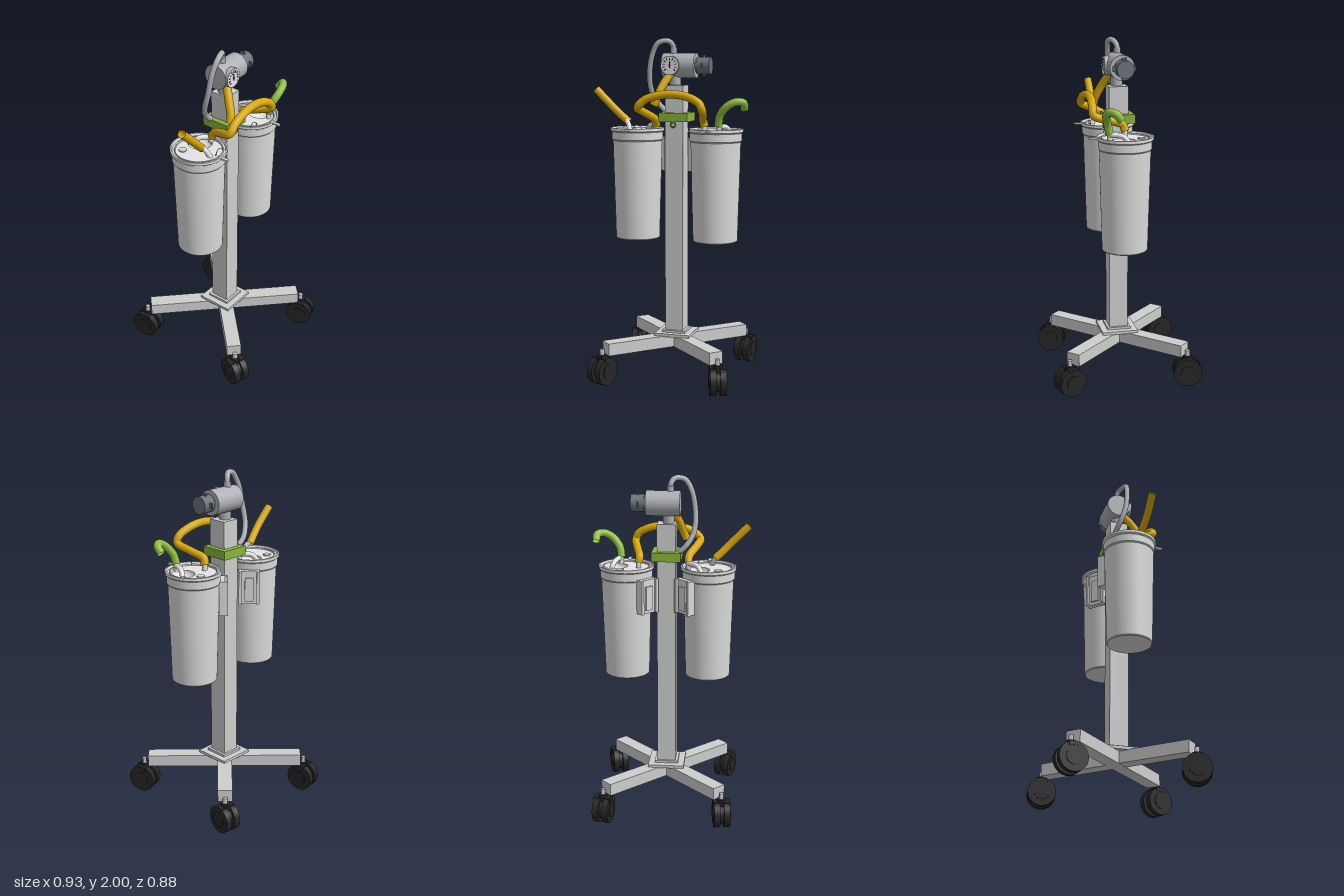
import * as THREE from 'three';
import { toCreasedNormals } from 'three/addons/utils/BufferGeometryUtils.js';

const mat = (name, color, side = THREE.FrontSide) => {
  const m = new THREE.MeshStandardMaterial({ color, side });
  m.name = name;
  return m;
};
const V = (p) => new THREE.Vector3(...p);

export function createModel() {
  const model = new THREE.Group();
  model.name = 'suctionTrolley';
  const frame = mat('frameGrey', 0xcdcfcd);
  const plastic = mat('canisterGrey', 0xd9dbd9, THREE.DoubleSide);
  const white = mat('lidWhite', 0xe4e4e4, THREE.DoubleSide);
  const metal = mat('regulatorGrey', 0xaeb0b6, THREE.DoubleSide);
  const slate = mat('knobSlate', 0x6c737b);
  const green = mat('clampGreen', 0x8ab43a);
  const lime = mat('hoseGreen', 0x8fc043, THREE.DoubleSide);
  const yellow = mat('hoseYellow', 0xd6a80c, THREE.DoubleSide);
  const black = mat('casterBlack', 0x262626);

  const add = (name, geo, material, pos = [0, 0, 0], parent = model) => {
    const m = new THREE.Mesh(geo, material);
    m.name = name;
    m.position.set(...pos);
    parent.add(m);
    return m;
  };
  const box = (w, h, d) => new THREE.BoxGeometry(w, h, d);
  const cyl = (r, h, n = 32, r2 = r) => new THREE.CylinderGeometry(r, r2, h, n);
  const lathe = (pts) => toCreasedNormals(
    new THREE.LatheGeometry(pts.map((p) => new THREE.Vector2(...p)), 56), 0.5);
  const tube = (name, pts, r, material, parent = model) => add(name,
    new THREE.TubeGeometry(new THREE.CatmullRomCurve3(pts.map(V)), pts.length * 8, r, 16),
    material, [0, 0, 0], parent);

  // Post and crossed base
  const px = 0.015;
  add('post', box(0.108, 1.5, 0.112), frame, [px, 0.98, 0]);
  add('basePlate', box(0.215, 0.018, 0.215), frame, [px, 0.252, 0]);
  add('postCollar', box(0.14, 0.03, 0.14), frame, [px, 0.26, 0]);
  for (const s of [1, -1]) {
    add('baseArm', box(0.94, 0.072, 0.086), frame, [px, 0.209 + s * 0.0005, -0.003]).rotation.y = s * Math.PI / 4;
  }

  // Twin-wheel casters
  for (const sx of [1, -1]) for (const sz of [1, -1]) {
    const c = new THREE.Group();
    c.name = 'caster';
    c.position.set(px + sx * 0.348, 0, sz * 0.35);
    c.rotation.y = sx * (sz > 0 ? 0.33 : -0.15) ;
    model.add(c);
    for (const s of [1, -1]) {
      add('wheel', cyl(0.082, 0.036, 36), black, [s * 0.029, 0.083, 0], c).rotation.z = Math.PI / 2;
      add('wheelHub', cyl(0.045, 0.006, 24), black, [s * 0.049, 0.083, 0], c).rotation.z = Math.PI / 2;
    }
    add('wheelCore', cyl(0.06, 0.03, 24), black, [0, 0.083, 0], c).rotation.z = Math.PI / 2;
    add('hood', box(0.1, 0.022, 0.06), black, [0, 0.152, 0], c);
    add('swivel', cyl(0.026, 0.03, 20), black, [0, 0.162, 0], c);
    add('stem', cyl(0.014, 0.05, 6), frame, [0, 0.185, 0], c);
  }

  // Collection canisters: tapered jar, rimmed lid with recessed bowl and ports
  const canisters = [
    { x: -0.226, bowl: [0.06, -0.04], port: [-0.058, -0.068], side: 1 },
    { x: 0.253, bowl: [0.062, 0.02], port: [0.028, -0.088], side: -1 },
  ];
  for (const { x, bowl, port, side } of canisters) {
    const c = new THREE.Group();
    c.name = 'canister';
    c.position.set(x, 0, 0.005);
    model.add(c);
    add('jar', lathe([[0, 0.82], [0.126, 0.82], [0.131, 0.826], [0.146, 1.405],
      [0.152, 1.412], [0.152, 1.46]]), plastic, [0, 0, 0], c);
    add('lidRim', lathe([[0.15, 1.455], [0.161, 1.464], [0.161, 1.48], [0.153, 1.481],
      [0.148, 1.468], [0.138, 1.468], [0.136, 1.474], [0.132, 1.474], [0.13, 1.464]]), white, [0, 0, 0], c);
    const disc = new THREE.Shape().absarc(0, 0, 0.148, 0, Math.PI * 2, false);
    disc.holes.push(new THREE.Path().absarc(bowl[0], -bowl[1], 0.068, 0, Math.PI * 2, true));
    const lid = new THREE.ExtrudeGeometry(disc, { depth: 0.008, bevelEnabled: false, curveSegments: 40 });
    add('lid', lid.rotateX(-Math.PI / 2), white, [0, 1.458, 0], c);
    const cup = new THREE.SphereGeometry(0.068, 32, 12, 0, Math.PI * 2, Math.PI / 2, Math.PI / 2);
    add('lidBowl', cup.scale(1, 0.7, 1), white, [bowl[0], 1.466, bowl[1]], c);
    add('portCap', cyl(0.023, 0.01, 28), plastic, [port[0], 1.468, port[1]], c);
    add('lidTab', box(0.018, 0.01, 0.06), white, [0, 1.474, 0.175], c);

    // Mounting bracket facing the post
    const b = new THREE.Group();
    b.name = 'canisterBracket';
    b.position.set(side * 0.13, 1.32, -0.1);
    b.rotation.y = side * 2.36;
    c.add(b);
    add('bracketPlate', box(0.115, 0.2, 0.03), plastic, [0, 0, 0], b);
    for (const s of [1, -1]) add('bracketRail', box(0.016, 0.2, 0.05), plastic, [s * 0.052, 0, 0.005], b);
    add('bracketLatch', box(0.05, 0.14, 0.012), plastic, [0, -0.01, 0.02], b);
  }

  // Lid nozzles feeding the hoses
  const nozzles = [
    [[-0.19, 1.455, -0.075], [-0.165, 1.49, -0.05], [-0.11, 1.495, 0]],
    [[0.34, 1.455, 0], [0.325, 1.49, 0.03], [0.3, 1.5, 0.1]],
    [[-0.24, 1.46, 0.1], [-0.255, 1.5, 0.08], [-0.28, 1.535, 0.063]],
    [[0.18, 1.46, -0.01], [0.18, 1.48, -0.01], [0.18, 1.51, -0.01]],
    [[-0.11, 1.46, 0], [-0.11, 1.48, 0], [-0.11, 1.51, 0.005]],
    [[0.295, 1.46, 0.1], [0.295, 1.48, 0.1], [0.297, 1.52, 0.1]],
  ];
  for (const n of nozzles) tube('nozzle', n, 0.015, white);

  // Thin retaining loops above the lids
  for (const [x, z] of [[-0.19, 0.12], [0.15, 0.1]]) {
    add('capLoop', new THREE.TorusGeometry(0.03, 0.002, 6, 24, Math.PI), metal, [x, 1.47, z]);
  }

  // Hoses
  tube('linkHose', [[-0.11, 1.495, 0], [-0.11, 1.53, 0.025], [-0.155, 1.58, 0.12], [-0.168, 1.605, 0.175],
    [-0.12, 1.65, 0.178], [0, 1.68, 0.172], [0.12, 1.67, 0.17], [0.2, 1.63, 0.178],
    [0.215, 1.595, 0.175], [0.195, 1.56, 0.08], [0.175, 1.53, 0], [0.18, 1.495, -0.012]], 0.024, yellow);
  tube('inletHose', [[-0.455, 1.705, 0.08], [-0.36, 1.61, 0.077], [-0.3, 1.55, 0.066], [-0.262, 1.515, 0.055]], 0.023, yellow);
  tube('regulatorHose', [[-0.01, 1.8, 0.03], [-0.045, 1.735, 0.07], [-0.075, 1.65, 0.11], [-0.09, 1.615, 0.115]], 0.024, yellow);
  tube('outletHose', [[0.293, 1.5, 0.1], [0.305, 1.56, 0.115], [0.35, 1.615, 0.13], [0.4, 1.64, 0.122],
    [0.435, 1.635, 0.095], [0.437, 1.6, 0.065]], 0.023, lime);
  tube('vacuumHose', [[-0.005, 1.9, -0.007], [-0.008, 1.955, -0.005], [-0.03, 1.983, 0.012], [-0.085, 1.975, 0.03],
    [-0.125, 1.91, 0.025], [-0.148, 1.78, 0.01], [-0.14, 1.68, -0.02], [-0.1, 1.61, -0.045], [-0.06, 1.57, -0.045]], 0.016, metal);
  add('hoseFitting', cyl(0.02, 0.035, 20), metal, [-0.005, 1.925, -0.007]);

  // Green clamp and hanging ring
  add('clamp', box(0.17, 0.052, 0.17), green, [px, 1.546, -0.005]);
  add('clampRing', new THREE.TorusGeometry(0.014, 0.004, 8, 24), green, [px, 1.503, 0.078]);

  // Regulator with control knob
  add('regulatorNeck', cyl(0.034, 0.09, 28), metal, [px - 0.01, 1.76, 0]);
  const onX = (name, r, len, m, x, n = 40) =>
    (add(name, cyl(r, len, n), m, [x, 1.843, -0.007]).rotation.z = Math.PI / 2);
  onX('regulatorBody', 0.072, 0.196, metal, 0.035);
  onX('knobNeck', 0.042, 0.012, slate, 0.136);
  onX('knob', 0.05, 0.078, slate, 0.18, 24);
  add('knobFin', box(0.008, 0.124, 0.03), slate, [0.178, 1.843, -0.007]);
  add('knobFin', box(0.008, 0.03, 0.13), slate, [0.178, 1.843, -0.007]);

  // Pressure gauge
  const gauge = new THREE.Group();
  gauge.name = 'gauge';
  gauge.position.set(-0.006, 1.843, 0.06);
  model.add(gauge);
  add('gaugeCase', cyl(0.055, 0.03, 40), metal, [0, 0, 0], gauge).rotation.x = Math.PI / 2;
  add('gaugeFace', new THREE.CircleGeometry(0.051, 40), white, [0, 0, 0.0155], gauge);
  for (let i = 0; i < 11; i++) {
    const a = -0.7 + i * 0.454;
    add('gaugeTick', box(0.013, 0.005, 0.002), black, [Math.cos(a) * 0.037, Math.sin(a) * 0.037, 0.0165], gauge).rotation.z = a;
  }
  add('gaugeNeedle', box(0.004, 0.04, 0.002), black, [0, 0.005, 0.0165], gauge);
  add('gaugeHub', cyl(0.006, 0.004, 16), black, [0, 0, 0.0165], gauge).rotation.x = Math.PI / 2;

  return model;
}
